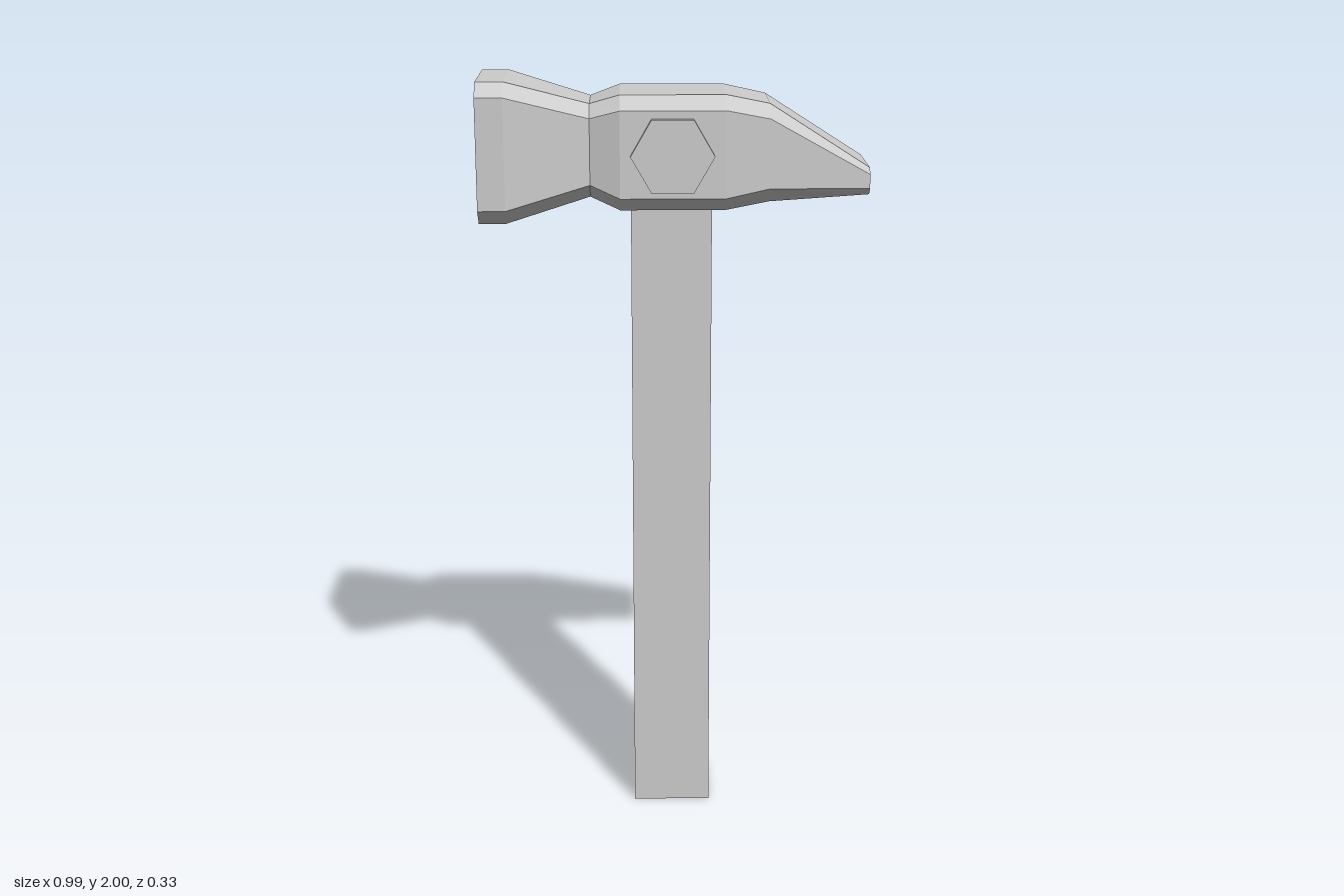
import * as THREE from 'three';

// Chamfered eight-point section of the head at one x, counter-clockwise seen from +x
function section([x, bottom, top, lowEdge, highEdge, half, flat]) {
  return [
    [-half, lowEdge], [-half, highEdge], [-flat, top], [flat, top],
    [half, highEdge], [half, lowEdge], [flat, bottom], [-flat, bottom],
  ].map(([z, y]) => [x, y, z]);
}

// Skin a row of sections and close both ends
function loft(sections) {
  const pos = [];
  const tri = (a, b, c) => pos.push(...a, ...b, ...c);
  const n = sections[0].length;
  for (let s = 0; s < sections.length - 1; s++) {
    const p = sections[s], q = sections[s + 1];
    for (let i = 0; i < n; i++) {
      const j = (i + 1) % n;
      tri(p[i], p[j], q[j]);
      tri(p[i], q[j], q[i]);
    }
  }
  const first = sections[0], last = sections[sections.length - 1];
  for (let i = 1; i < n - 1; i++) {
    tri(first[0], first[i + 1], first[i]);
    tri(last[0], last[i], last[i + 1]);
  }
  const geo = new THREE.BufferGeometry();
  geo.setAttribute('position', new THREE.Float32BufferAttribute(pos, 3));
  geo.computeVertexNormals();
  return geo;
}

export function createModel() {
  const group = new THREE.Group();
  const grey = new THREE.MeshStandardMaterial({ color: 0xcccccc, flatShading: true });
  grey.name = 'plain grey';

  const add = (name, geo, x, y, z) => {
    const mesh = new THREE.Mesh(geo, grey);
    mesh.name = name;
    mesh.position.set(x, y, z);
    group.add(mesh);
  };

  // Head: square face, narrow neck, eye block, then the tapering peen
  // x, bottom, top, lower chamfer, upper chamfer, half depth, flat half depth
  const head = [
    [-0.495, 1.645, 2.0, 1.683, 1.965, 0.167, 0.13],
    [-0.425, 1.645, 2.0, 1.683, 1.965, 0.167, 0.13],
    [-0.213, 1.705, 1.94, 1.74, 1.907, 0.12, 0.083],
    [-0.137, 1.675, 1.965, 1.71, 1.93, 0.15, 0.113],
    [0.13, 1.675, 1.965, 1.71, 1.93, 0.15, 0.113],
    [0.24, 1.695, 1.942, 1.733, 1.908, 0.141, 0.104],
    [0.495, 1.712, 1.78, 1.73, 1.765, 0.12, 0.103],
  ];
  add('head', loft(head.map(section)), 0, 0, 0);

  // Hexagonal boss through both cheeks, corners pointing along x
  const boss = new THREE.CylinderGeometry(0.106, 0.106, 0.332, 6);
  boss.rotateY(Math.PI / 2).rotateX(Math.PI / 2);
  boss.computeBoundingBox();
  if (boss.boundingBox.max.x < 0.1) boss.rotateZ(Math.PI / 2);
  add('hexagonBoss', boss, -0.005, 1.818, 0);

  // Handle running up into the head
  add('handle', new THREE.BoxGeometry(0.206, 1.8, 0.198), -0.007, 0.9, 0);

  return group;
}
